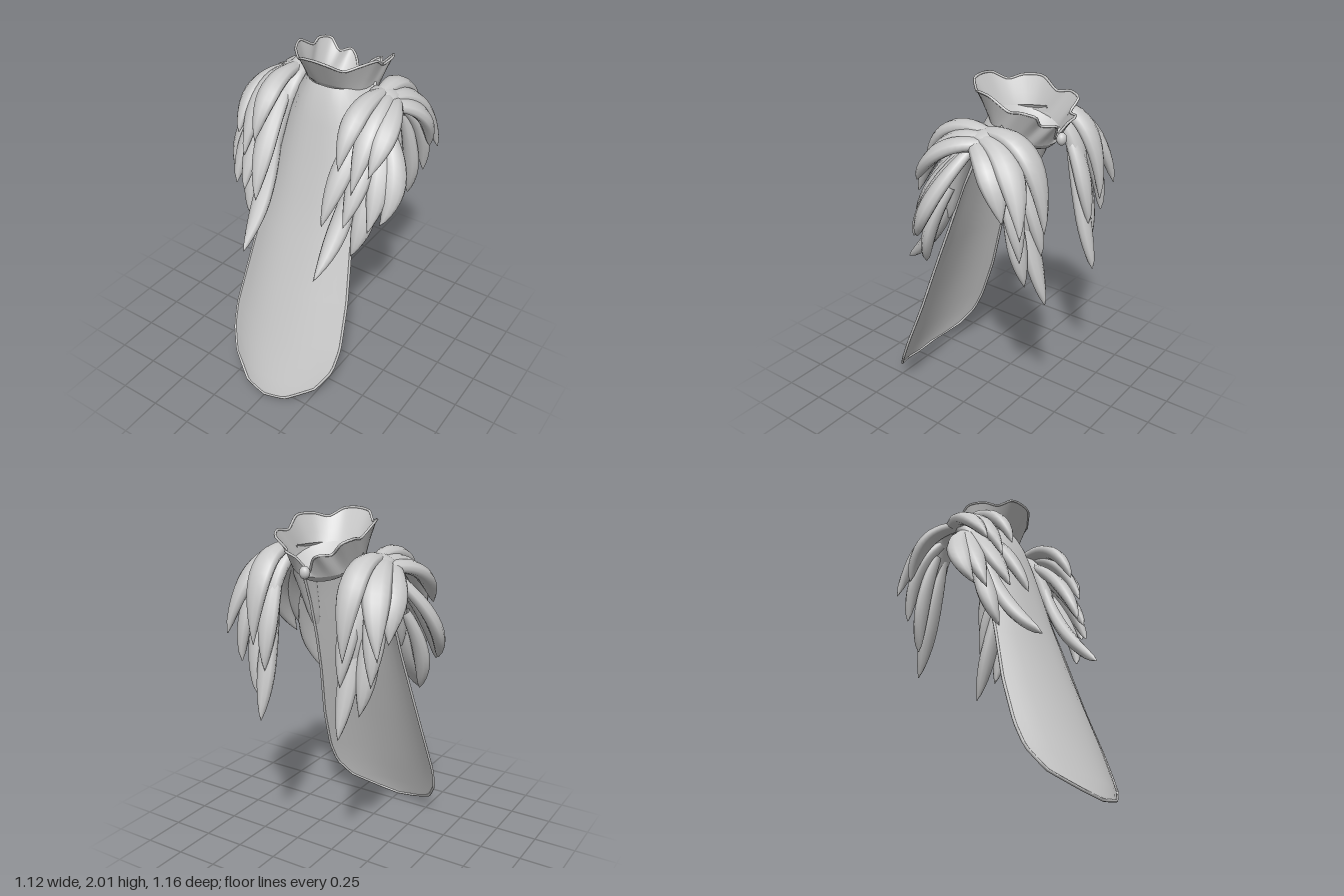
import * as THREE from 'three';

const V = (x, y, z) => new THREE.Vector3(x, y, z);

// Skin a list of equal-length point rows; closed joins each row end to start.
function loft(rows, closed) {
  const n = rows[0].length, cols = closed ? n : n - 1, index = [];
  for (let i = 0; i < rows.length - 1; i++) {
    for (let j = 0; j < cols; j++) {
      const a = i * n + j, b = i * n + (j + 1) % n;
      index.push(a, b, a + n, b, b + n, a + n);
    }
  }
  const g = new THREE.BufferGeometry();
  g.setAttribute('position', new THREE.Float32BufferAttribute(rows.flat().flatMap(p => [p.x, p.y, p.z]), 3));
  g.setIndex(index);
  g.computeVertexNormals();
  return g;
}

// Flattened, tapering body swept along a curve; its flat side faces away from centre.
function sweep(curve, centre, halfWidth, halfThick, profile, steps = 14, sides = 10) {
  const rows = [];
  for (let i = 0; i <= steps; i++) {
    const t = i / steps, p = curve.getPoint(t), T = curve.getTangent(t);
    const n = p.clone().sub(centre);
    n.addScaledVector(T, -n.dot(T)).normalize();
    const side = n.clone().cross(T), k = profile(t), row = [];
    for (let j = 0; j < sides; j++) {
      const a = j / sides * Math.PI * 2;
      row.push(p.clone()
        .addScaledVector(side, Math.cos(a) * halfWidth * k)
        .addScaledVector(n, Math.sin(a) * halfThick * Math.sqrt(k)));
    }
    rows.push(row);
  }
  return loft(rows, true);
}

const featherProfile = t => t < 0.55
  ? 0.5 + 0.5 * Math.sin(t / 0.55 * Math.PI / 2)
  : Math.max(0.005, 1 - Math.pow((t - 0.55) / 0.45, 1.8));

const archProfile = t => Math.max(0.02, Math.sqrt(Math.max(0, Math.sin(Math.PI * t))));

export function createModel() {
  const grey = new THREE.MeshStandardMaterial({ color: 0xc8c8c8, side: THREE.DoubleSide });
  grey.name = 'grey cloth';
  const model = new THREE.Group();
  model.name = 'featheredBib';
  const add = (geometry, name, parent = model) => {
    const m = new THREE.Mesh(geometry, grey);
    m.name = name;
    parent.add(m);
    return m;
  };

  // Long front panel: y, half width, centre z, how far the edges sit back
  const panelRows = [
    [1.82, 0.205, -0.055, 0.19], [1.74, 0.24, -0.015, 0.18], [1.62, 0.26, 0.02, 0.13],
    [1.45, 0.27, 0.065, 0.10], [1.2, 0.285, 0.135, 0.085], [0.97, 0.31, 0.21, 0.085],
    [0.65, 0.352, 0.33, 0.11], [0.38, 0.375, 0.435, 0.115], [0.24, 0.36, 0.49, 0.11],
    [0.12, 0.29, 0.54, 0.08], [0.035, 0.14, 0.57, 0.015], [0.008, 0.01, 0.575, 0],
  ].map(([y, w, z, sag]) => {
    const row = [];
    for (let j = 0; j <= 12; j++) {
      const u = 1 - j / 6;
      row.push(V(u * w, y, z - sag * Math.pow(Math.abs(u), 2 + y / 1.8)));
    }
    return row;
  });
  add(loft(panelRows, false), 'frontPanel');

  // Thin rolled hem around the sides and foot of the panel
  const edge = new THREE.CatmullRomCurve3(
    [...panelRows.map(r => r[0]), ...panelRows.map(r => r[12]).reverse()], false, 'catmullrom', 0.1);
  add(new THREE.TubeGeometry(edge, 92, 0.008, 6), 'panelHem');

  // Flared collar with a scalloped rim
  const half = [
    [0, 2.0, 0.04], [0.08, 1.99, 0.03], [0.14, 1.95, -0.03], [0.20, 1.97, -0.09],
    [0.24, 1.97, -0.19], [0.225, 1.91, -0.29], [0.235, 1.92, -0.37], [0.20, 1.90, -0.44],
    [0.14, 1.84, -0.43], [0.10, 1.84, -0.49], [0.05, 1.81, -0.47], [0.006, 1.74, -0.43],
  ];
  const rimCurve = new THREE.CatmullRomCurve3(
    [...half, ...half.slice(1).reverse().map(([x, y, z]) => [-x, y, z])].map(p => V(...p)),
    true, 'catmullrom', 0.4);
  const rim = rimCurve.getPoints(92).slice(0, -1);
  const ring = (rx, rz, cz, yFront, yBack) => rim.map((p, i) => {
    const a = i / rim.length * Math.PI * 2, c = Math.cos(a);
    return V(rx * Math.sin(a), yBack + (yFront - yBack) * (c + 1) / 2, cz + rz * c);
  });
  const neck = ring(0.2, 0.185, -0.245, 1.83, 1.71);
  const bend = rim.map((p, i) => p.clone().lerp(neck[i], 0.6));
  add(loft([rim, bend, neck], true), 'collar');
  add(new THREE.TubeGeometry(rimCurve, 92, 0.007, 6, true), 'collarHem');

  // Yoke closing in from the collar to the neck hole
  add(loft([neck, ring(0.155, 0.145, -0.265, 1.76, 1.69), ring(0.11, 0.11, -0.288, 1.72, 1.68)], true), 'neckYoke');

  // Fastening at the back of the collar
  const button = add(new THREE.SphereGeometry(0.03, 14, 10), 'backButton');
  button.position.set(0, 1.74, -0.47);
  button.scale.set(1, 1.15, 0.9);

  // Feathered shoulder pieces
  for (const s of [1, -1]) {
    const shoulder = new THREE.Group();
    shoulder.name = s > 0 ? 'leftShoulder' : 'rightShoulder';
    model.add(shoulder);
    const P = ([x, y, z]) => V(s * x, y, z);
    const centre = P([0.25, 1.25, -0.2]);

    // Band over the shoulder that carries the feathers
    const arch = new THREE.CatmullRomCurve3([
      [0.28, 1.25, 0.06], [0.285, 1.52, -0.02], [0.285, 1.70, -0.10], [0.285, 1.775, -0.2],
      [0.285, 1.73, -0.31], [0.285, 1.55, -0.41], [0.28, 1.28, -0.46],
    ].map(P));
    add(sweep(arch, centre, 0.09, 0.05, archProfile, 24), 'shoulderArch', shoulder);

    // One layer of feathers: roots and bends spread evenly from inner to outer
    const fan = (name, root, innerBend, outerBend, width, tips) => tips.forEach((tip, i) => {
      const k = i / (tips.length - 1);
      const start = P(root).add(V(s * 0.06 * k, -0.03 * k, 0));
      const middle = P(innerBend).lerp(P(outerBend), k);
      const curve = new THREE.QuadraticBezierCurve3(start, middle, P(tip));
      add(sweep(curve, centre, width, 0.04, featherProfile), name, shoulder);
    });
    fan('topFrontFeather', [0.28, 1.785, -0.24], [0.265, 1.88, 0.1], [0.46, 1.79, 0], 0.066,
      [[0.27, 1.52, 0.21], [0.35, 1.4, 0.21], [0.42, 1.5, 0.16]]);
    fan('middleFrontFeather', [0.27, 1.72, -0.12], [0.26, 1.55, 0.16], [0.58, 1.46, 0], 0.066,
      [[0.22, 1.19, 0.29], [0.33, 1.2, 0.25], [0.44, 1.17, 0.18], [0.48, 1.2, 0.12]]);
    fan('lowerFrontFeather', [0.27, 1.5, 0], [0.27, 1.12, 0.12], [0.42, 1.22, 0.12], 0.06,
      [[0.24, 0.89, 0.4], [0.34, 0.97, 0.18]]);
    fan('topBackFeather', [0.28, 1.785, -0.16], [0.28, 1.9, -0.53], [0.48, 1.74, -0.38], 0.075,
      [[0.28, 1.33, -0.56], [0.47, 1.36, -0.54], [0.47, 1.42, -0.43]]);
    fan('middleBackFeather', [0.27, 1.72, -0.32], [0.25, 1.5, -0.48], [0.42, 1.55, -0.47], 0.06,
      [[0.24, 1.18, -0.52], [0.41, 1.2, -0.5]]);
    fan('lowerBackFeather', [0.27, 1.65, -0.36], [0.26, 1.2, -0.47], [0.38, 1.3, -0.45], 0.058,
      [[0.25, 0.9, -0.56], [0.33, 1.02, -0.48]]);
  }
  return model;
}
